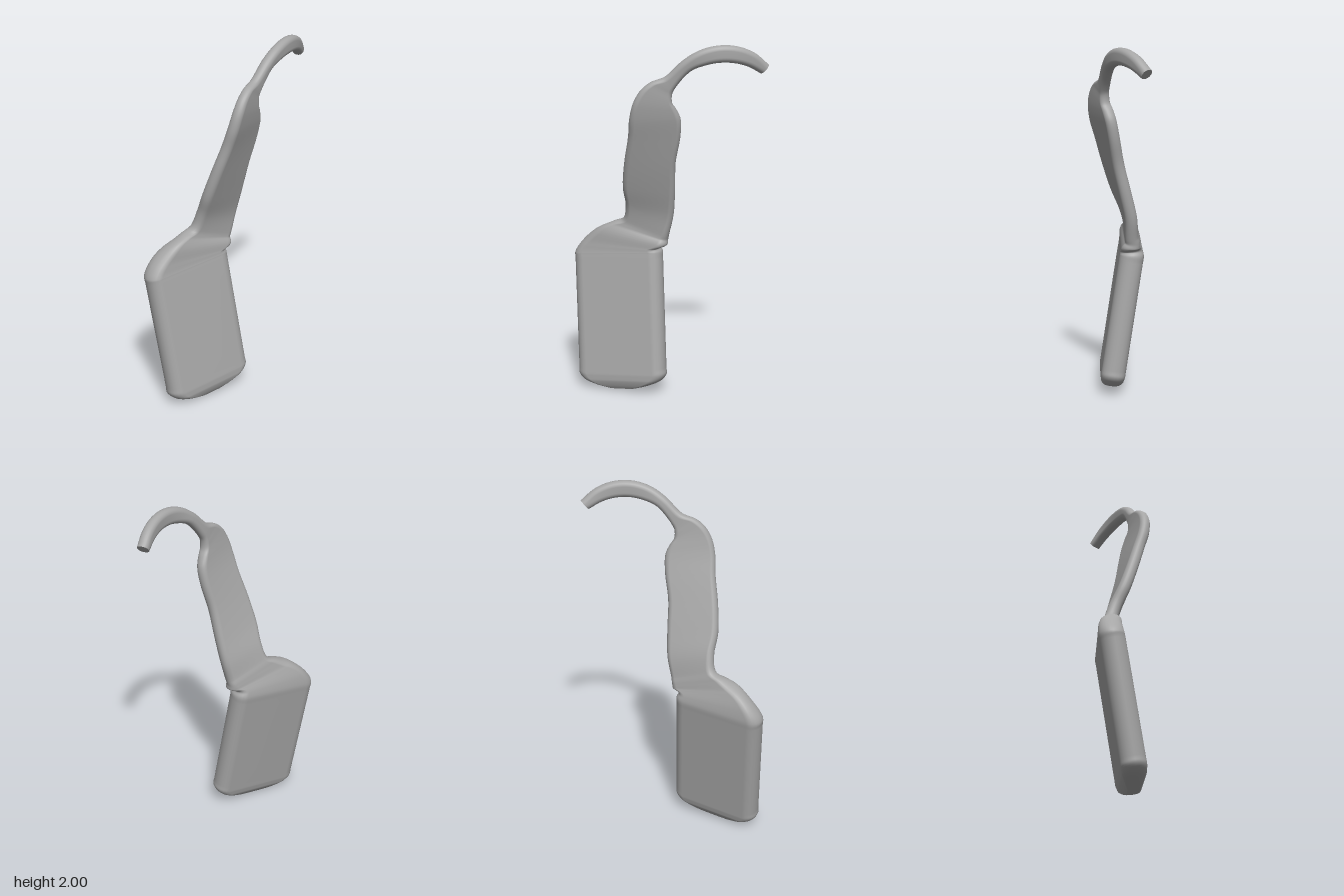
import * as THREE from 'three';

const CORNER = 5; // segments per rounded corner
const SUB = 5;    // rings between stations
const v = (x, y, z) => new THREE.Vector3(x, y, z);

// A station is a cross-section: front edge, back edge and thickness
const station = (front, back, thick) => ({ front, back, thick });

// Straight blade: one section slid down a leaning axis, drawn in at the blunt end
function bladeStations() {
  const front = v(-0.238, 0.773, 0.486), back = v(0.008, 0.817, 0.025);
  const axis = v(0.178, -0.984, 0);
  const across = back.clone().sub(front).normalize();
  // distance down, inset, thickness
  return [
    [0.795, 0.18, 0.07], [0.775, 0.1, 0.1], [0.745, 0.03, 0.13],
    [0.71, 0, 0.14], [0.67, 0, 0.14], [0.04, 0, 0.14], [0, 0, 0.14],
  ].map(([down, inset, thick]) => station(
    front.clone().addScaledVector(axis, down).addScaledVector(across, inset),
    back.clone().addScaledVector(axis, down).addScaledVector(across, -inset),
    thick));
}

// Shoulder with a small lip at the back, wavy handle and pinched neck
function handleStations() {
  return [
    [-0.222, 0.84, 0.45, 0.006, 0.838, 0.036, 0.13],
    [-0.17, 0.925, 0.37, 0.03, 0.858, 0, 0.11],
    [-0.122, 0.972, 0.285, 0.022, 0.885, -0.006, 0.085],
    [-0.09, 1, 0.228, 0.03, 0.915, -0.01, 0.075],
    [-0.05, 1.09, 0.22, 0.045, 1.03, -0.034, 0.072],
    [-0.003, 1.2, 0.243, 0.08, 1.18, -0.037, 0.07],
    [0.055, 1.35, 0.242, 0.122, 1.35, -0.033, 0.068],
    [0.112, 1.5, 0.228, 0.158, 1.5, -0.052, 0.066],
    [0.147, 1.6, 0.226, 0.177, 1.6, -0.05, 0.066],
    [0.168, 1.69, 0.208, 0.183, 1.655, -0.025, 0.064],
    [0.178, 1.76, 0.168, 0.187, 1.69, -0.002, 0.06],
    [0.185, 1.803, 0.115, 0.19, 1.735, 0, 0.056],
    [0.192, 1.832, 0.04, 0.198, 1.765, -0.012, 0.058],
  ].map(([a, b, c, d, e, f, thick]) => station(v(a, b, c), v(d, e, f), thick));
}

// Hook: a circular arc bowing sideways and tapering to its tip
function hookStations() {
  const list = [];
  for (let i = 0; i < 6; i++) {
    const angle = THREE.MathUtils.lerp(0.63, -0.73, i / 5);
    const half = 0.046 - 0.026 * angle * angle;
    const edge = (radius) => {
      const z = -0.27 + 0.336 * Math.sin(angle);
      return v(0.252 - 0.64 * (z + 0.3) ** 2,
        1.618 + radius * Math.cos(angle), -0.27 + radius * Math.sin(angle));
    };
    list.push(station(edge(0.336 + half), edge(0.336 - half), 0.063));
  }
  return list;
}

// Rounded-rectangle rings swept along the smoothed front and back edges
function makeRings(stations) {
  const front = new THREE.CatmullRomCurve3(stations.map((s) => s.front));
  const back = new THREE.CatmullRomCurve3(stations.map((s) => s.back));
  const count = (stations.length - 1) * SUB;
  const mid = (t) => front.getPoint(t).add(back.getPoint(t)).multiplyScalar(0.5);
  const rings = [];
  for (let i = 0; i <= count; i++) {
    const t = i / count;
    const k = Math.min(Math.floor(i / SUB), stations.length - 2);
    const thick = THREE.MathUtils.lerp(stations[k].thick, stations[k + 1].thick, i / SUB - k);
    const d = back.getPoint(t).sub(front.getPoint(t));
    const halfW = d.length() / 2;
    d.normalize();
    const up = mid(Math.min(1, t + 1 / count)).sub(mid(Math.max(0, t - 1 / count)));
    const n = up.cross(d).normalize();
    const centre = mid(t);
    const r = Math.min(thick * 0.45, halfW * 0.95);
    const ring = [];
    for (let q = 0; q < 4; q++) {
      const sd = q === 0 || q === 3 ? 1 : -1;
      const sn = q < 2 ? 1 : -1;
      for (let j = 0; j <= CORNER; j++) {
        const a = (q + j / CORNER) * Math.PI / 2;
        ring.push(centre.clone()
          .addScaledVector(d, sd * (halfW - r) + r * Math.cos(a))
          .addScaledVector(n, sn * (thick / 2 - r) + r * Math.sin(a)));
      }
    }
    rings.push(ring);
  }
  return rings;
}

// Skin over all rings, so normals run smoothly across part joints
function makeSkin(rings) {
  const size = rings[0].length;
  const index = [];
  for (let i = 0; i < rings.length - 1; i++) {
    for (let j = 0; j < size; j++) {
      const a = i * size + j, b = i * size + (j + 1) % size;
      index.push(a, b, b + size, a, b + size, a + size);
    }
  }
  const geo = new THREE.BufferGeometry().setFromPoints(rings.flat());
  geo.setIndex(index);
  geo.computeVertexNormals();
  return geo;
}

// The stretch of skin between two stations
function slice(skin, size, from, to) {
  const r0 = from * SUB, r1 = to * SUB;
  const geo = new THREE.BufferGeometry();
  for (const name of ['position', 'normal']) {
    const part = skin.attributes[name].array.slice(r0 * size * 3, (r1 + 1) * size * 3);
    geo.setAttribute(name, new THREE.BufferAttribute(part, 3));
  }
  geo.setIndex(Array.from(skin.index.array.slice(0, (r1 - r0) * size * 6)));
  return geo;
}

// Flat end cap
function cap(ring, flip) {
  const index = [];
  for (let j = 1; j < ring.length - 1; j++) index.push(0, flip ? j + 1 : j, flip ? j : j + 1);
  const geo = new THREE.BufferGeometry().setFromPoints(ring);
  geo.setIndex(index);
  geo.computeVertexNormals();
  return geo;
}

export function createModel() {
  const grey = new THREE.MeshStandardMaterial({ color: 0xa6a6a6 });
  grey.name = 'grey';
  const model = new THREE.Group();
  model.name = 'hookedPaddle';
  const add = (name, geo) => {
    const mesh = new THREE.Mesh(geo, grey);
    mesh.name = name;
    model.add(mesh);
  };

  const stations = [...bladeStations(), ...handleStations(), ...hookStations()];
  const rings = makeRings(stations);
  const skin = makeSkin(rings);
  const size = rings[0].length;
  add('blade', slice(skin, size, 0, 6));
  add('shoulder', slice(skin, size, 6, 10));
  add('handle', slice(skin, size, 10, 18));
  add('hook', slice(skin, size, 18, stations.length - 1));
  add('bladeEnd', cap(rings[0], true));
  add('hookEnd', cap(rings[rings.length - 1], false));
  return model;
}
